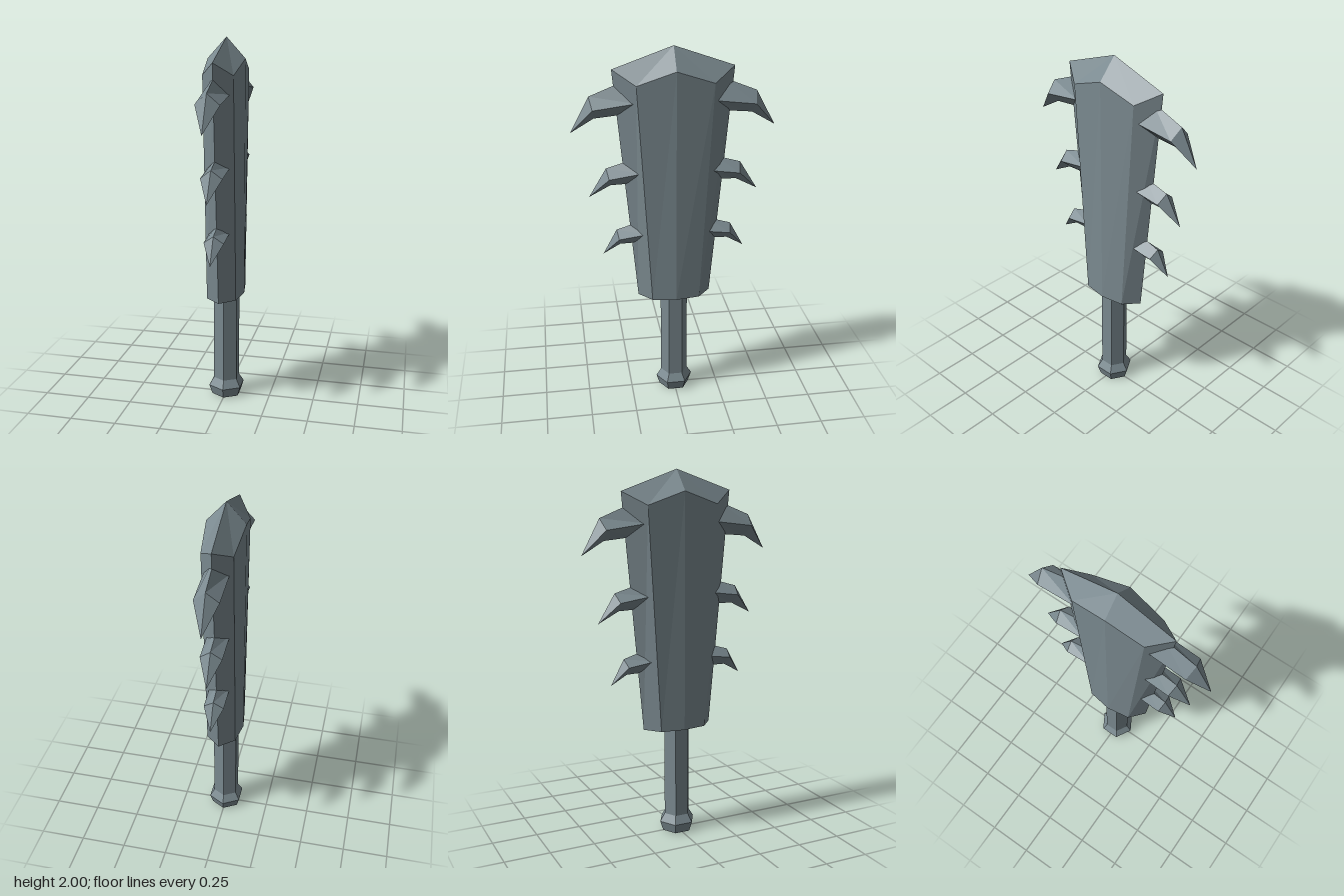
import * as THREE from 'three';

const stone = new THREE.MeshStandardMaterial({ color: 0x7b8a90 });
stone.name = 'greyStone';

// Flat-shaded skin over a list of rings; a ring of one point closes an end.
function loft(rings) {
  const out = [];
  const n = Math.max(...rings.map((r) => r.length));
  const tri = (a, b, c) => {
    if (a !== b && b !== c && c !== a) out.push(...a, ...b, ...c);
  };
  for (let k = 0; k + 1 < rings.length; k++) {
    const at = (r, i) => r[i % r.length];
    for (let i = 0; i < n; i++) {
      const a = at(rings[k], i), b = at(rings[k], (i + 1) % n);
      const c = at(rings[k + 1], (i + 1) % n), d = at(rings[k + 1], i);
      tri(a, b, c);
      tri(a, c, d);
    }
  }
  const g = new THREE.BufferGeometry();
  g.setAttribute('position', new THREE.Float32BufferAttribute(out, 3));
  g.computeVertexNormals();
  return g;
}

function part(name, geometry) {
  const mesh = new THREE.Mesh(geometry, stone);
  mesh.name = name;
  return mesh;
}

// Six-sided section of the grip and pommel
function hexSection(name, rTop, rBottom, y0, y1, open) {
  const g = new THREE.CylinderGeometry(rTop, rBottom, y1 - y0, 6, 1, open).toNonIndexed();
  g.computeVertexNormals();
  g.translate(0, (y0 + y1) / 2, 0);
  return part(name, g);
}

// Eight-sided blade outline: sharp edges at +-z, broad faces at +-x
function bladeRing(edgeZ, edgeY, shoulderZ, shoulderY, midY) {
  return [
    [0, edgeY, edgeZ], [0.08, shoulderY, shoulderZ], [0.1, midY, 0], [0.08, shoulderY, -shoulderZ],
    [0, edgeY, -edgeZ], [-0.08, shoulderY, -shoulderZ], [-0.1, midY, 0], [-0.08, shoulderY, shoulderZ],
  ];
}

// Diamond section of a spike; top, side and bottom are [z, y]
function spikeRing(w, top, side, bottom) {
  return [
    [w, side[1], side[0]], [0, top[1], top[0]],
    [-w, side[1], side[0]], [0, bottom[1], bottom[0]],
  ];
}

const SPIKES = [
  { name: 'upperSpike', w: 0.063, root: [[0.25, 1.83], [0.2, 1.727], [0.25, 1.657]],
    bend: [[0.434, 1.757], [0.42, 1.7], [0.412, 1.642]], tip: [0.535, 1.57] },
  { name: 'middleSpike', w: 0.057, root: [[0.22, 1.41], [0.17, 1.35], [0.22, 1.278]],
    bend: [[0.358, 1.37], [0.347, 1.325], [0.337, 1.275]], tip: [0.452, 1.215] },
  { name: 'lowerSpike', w: 0.053, root: [[0.19, 1.053], [0.15, 0.998], [0.19, 0.932]],
    bend: [[0.312, 1.016], [0.303, 0.978], [0.295, 0.93]], tip: [0.387, 0.878] },
];

export function createModel() {
  const club = new THREE.Group();
  club.name = 'spikedClub';

  // Handle
  club.add(hexSection('pommelBase', 0.103, 0.085, 0, 0.055, false));
  club.add(hexSection('pommelCollar', 0.075, 0.103, 0.055, 0.1, true));
  club.add(hexSection('grip', 0.075, 0.075, 0.1, 0.62, true));

  // Flaring blade with a pitched top
  club.add(part('blade', loft([
    [[0, 0.61, 0]],
    bladeRing(0.2, 0.61, 0.13, 0.61, 0.61),
    bladeRing(0.315, 1.89, 0.2, 1.82, 1.89),
    [[0, 2, 0]],
  ])));

  // Drooping spikes along both edges
  for (const s of SPIKES) {
    const g = loft([
      spikeRing(s.w, ...s.root),
      spikeRing(s.w, ...s.bend),
      [[0, s.tip[1], s.tip[0]]],
    ]);
    for (const side of ['Front', 'Back']) {
      const spike = part(s.name + side, g);
      if (side === 'Back') spike.rotation.y = Math.PI;
      club.add(spike);
    }
  }
  return club;
}
